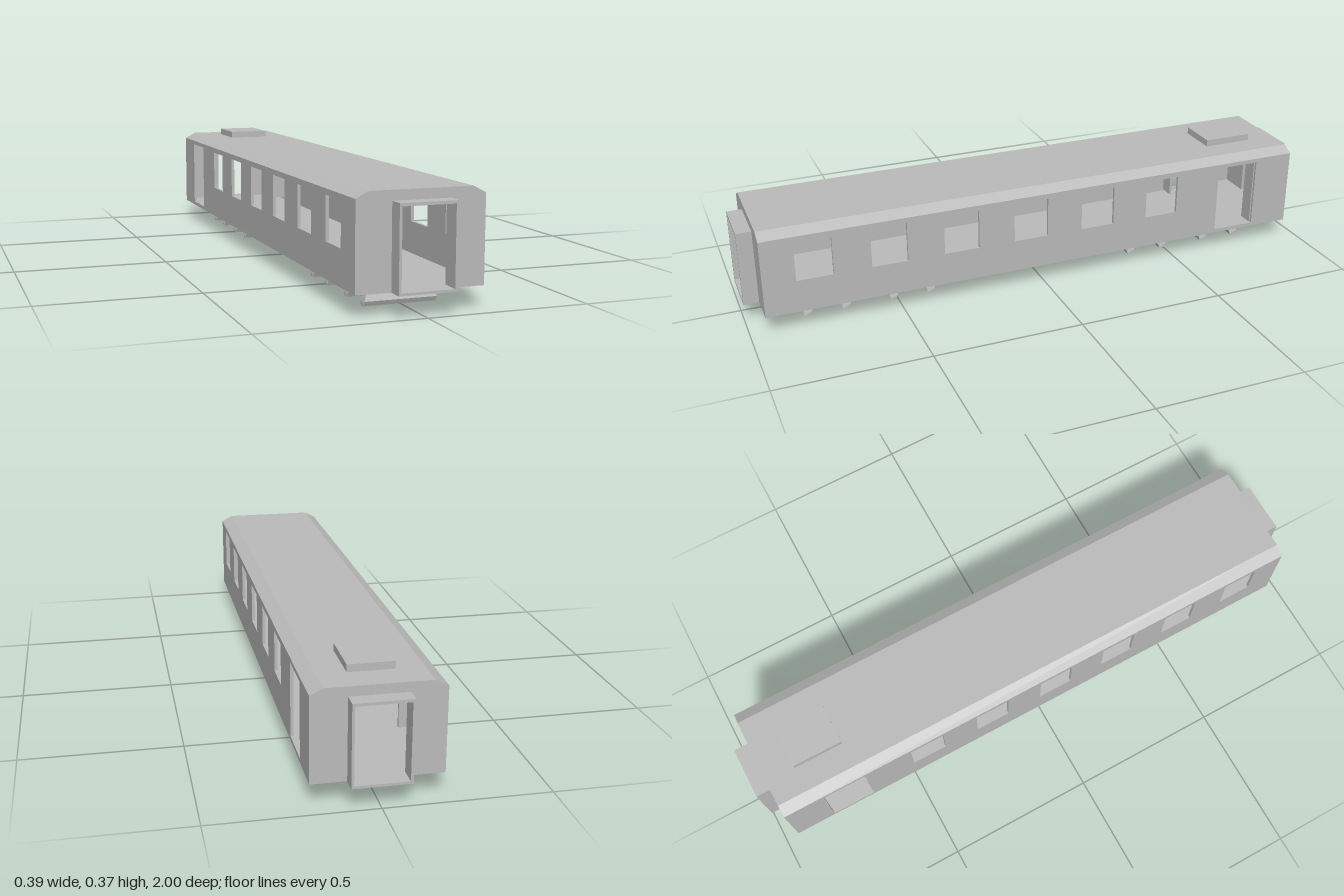
import * as THREE from 'three';

const grey = new THREE.MeshStandardMaterial({ color: 0xbbbbbb });
grey.name = 'plain grey';

function mesh(name, geometry) {
  const m = new THREE.Mesh(geometry, grey);
  m.name = name;
  return m;
}

// Box given by its low and high corners
function box(name, [x0, y0, z0], [x1, y1, z1]) {
  const m = mesh(name, new THREE.BoxGeometry(x1 - x0, y1 - y0, z1 - z0));
  m.position.set((x0 + x1) / 2, (y0 + y1) / 2, (z0 + z1) / 2);
  return m;
}

function shapeOf(points) {
  return new THREE.Shape(points.map(([x, y]) => new THREE.Vector2(x, y)));
}

function rect(x0, y0, x1, y1) {
  return [[x0, y0], [x1, y0], [x1, y1], [x0, y1]];
}

function extrude(points, holes, depth) {
  const shape = shapeOf(points);
  holes.forEach((h) => shape.holes.push(new THREE.Path(h.map(([x, y]) => new THREE.Vector2(x, y)))));
  return new THREE.ExtrudeGeometry(shape, { depth, bevelEnabled: false });
}

const HALF_W = 0.195, HALF_L = 0.95, FLOOR = 0.067, EAVE = 0.33, TOP = 0.35, T = 0.01;

// Side wall with six windows and a doorway; drawn in (z, y), then turned
function sideWall(name, side) {
  const holes = [rect(-0.811, 0.08, -0.659, 0.316)];
  for (let i = 0; i < 6; i++) {
    const z = 0.784 - i * 0.244;
    holes.push(rect(z - 0.06, 0.177, z + 0.06, 0.312));
  }
  const geo = extrude(rect(-HALF_L, FLOOR, HALF_L, EAVE), holes, T);
  geo.rotateY(-Math.PI / 2); // shape x becomes z, depth becomes -x
  const m = mesh(name, geo);
  m.position.x = side > 0 ? HALF_W : -HALF_W + T;
  return m;
}

// Bar lying across the car, six-sided in section with a tapered top
function crossBar() {
  const geo = extrude(
    [[-0.010, 0], [0.010, 0], [0.016, 0.014], [0.010, 0.031], [-0.010, 0.031], [-0.016, 0.014]], [], 0.226);
  geo.translate(0, 0, -0.113);
  geo.rotateY(Math.PI / 2);
  const p = geo.attributes.position;
  for (let i = 0; i < p.count; i++) {
    if (p.getY(i) > 0.02) p.setX(i, p.getX(i) * 0.94);
  }
  geo.computeVertexNormals();
  return mesh('bogieCrossBar', geo);
}

function bogie(z) {
  const g = new THREE.Group();
  g.name = 'bogie';
  for (const s of [-1, 1]) {
    const bar = crossBar();
    bar.position.z = s * 0.064;
    g.add(bar);
    g.add(box('bogieAxle', [s * 0.065 - 0.009, 0.008, -0.06], [s * 0.065 + 0.009, 0.026, 0.06]));
  }
  g.add(box('bogieBolster', [-0.075, 0.006, -0.016], [0.075, 0.032, 0.016]));
  g.add(box('bogiePivot', [-0.022, 0.02, -0.022], [0.022, 0.045, 0.022]));
  g.position.z = z;
  return g;
}

export function createModel() {
  const car = new THREE.Group();
  car.name = 'railwayCarriage';

  // Body shell
  car.add(sideWall('leftWall', 1), sideWall('rightWall', -1));
  car.add(box('floor', [-HALF_W + T, FLOOR, -HALF_L], [HALF_W - T, 0.075, HALF_L]));
  const roof = mesh('roof', extrude([
    [-HALF_W, EAVE], [-HALF_W + T, EAVE], [-0.155, TOP - T], [0.155, TOP - T],
    [HALF_W - T, EAVE], [HALF_W, EAVE], [0.157, TOP], [-0.157, TOP],
  ], [], 2 * HALF_L));
  roof.position.z = -HALF_L;
  car.add(roof);
  car.add(box('roofVent', [-0.07, TOP - 0.005, -0.85], [0.07, 0.373, -0.68]));

  // End walls and gangway frames
  const opening = rect(-0.08, 0.075, 0.08, 0.311);
  for (const s of [-1, 1]) {
    const end = mesh('endWall', extrude([
      [-HALF_W + T, FLOOR], [HALF_W - T, FLOOR], [HALF_W - T, EAVE],
      [0.155, TOP - T], [-0.155, TOP - T], [-HALF_W + T, EAVE],
    ], [opening], T));
    end.position.z = s > 0 ? HALF_L - T : -HALF_L;
    const gangway = mesh('gangwayFrame', extrude(rect(-0.088, FLOOR, 0.088, 0.32), [opening], 0.05));
    gangway.position.z = s > 0 ? HALF_L : -HALF_L - 0.05;
    car.add(end, gangway);
  }

  // Door leaves folded inwards
  car.add(box('leftDoorLeaf', [0.135, 0.08, -0.815], [0.187, 0.316, -0.807]));
  car.add(box('rightDoorLeaf', [-0.187, 0.08, -0.663], [-0.135, 0.316, -0.655]));

  // Underframe and bogies
  car.add(box('centreBeam', [-0.033, 0.036, -0.745], [0.033, 0.07, 0.76]));
  for (const z of [0.74, 0.45, -0.43, -0.725]) car.add(bogie(z));

  return car;
}
